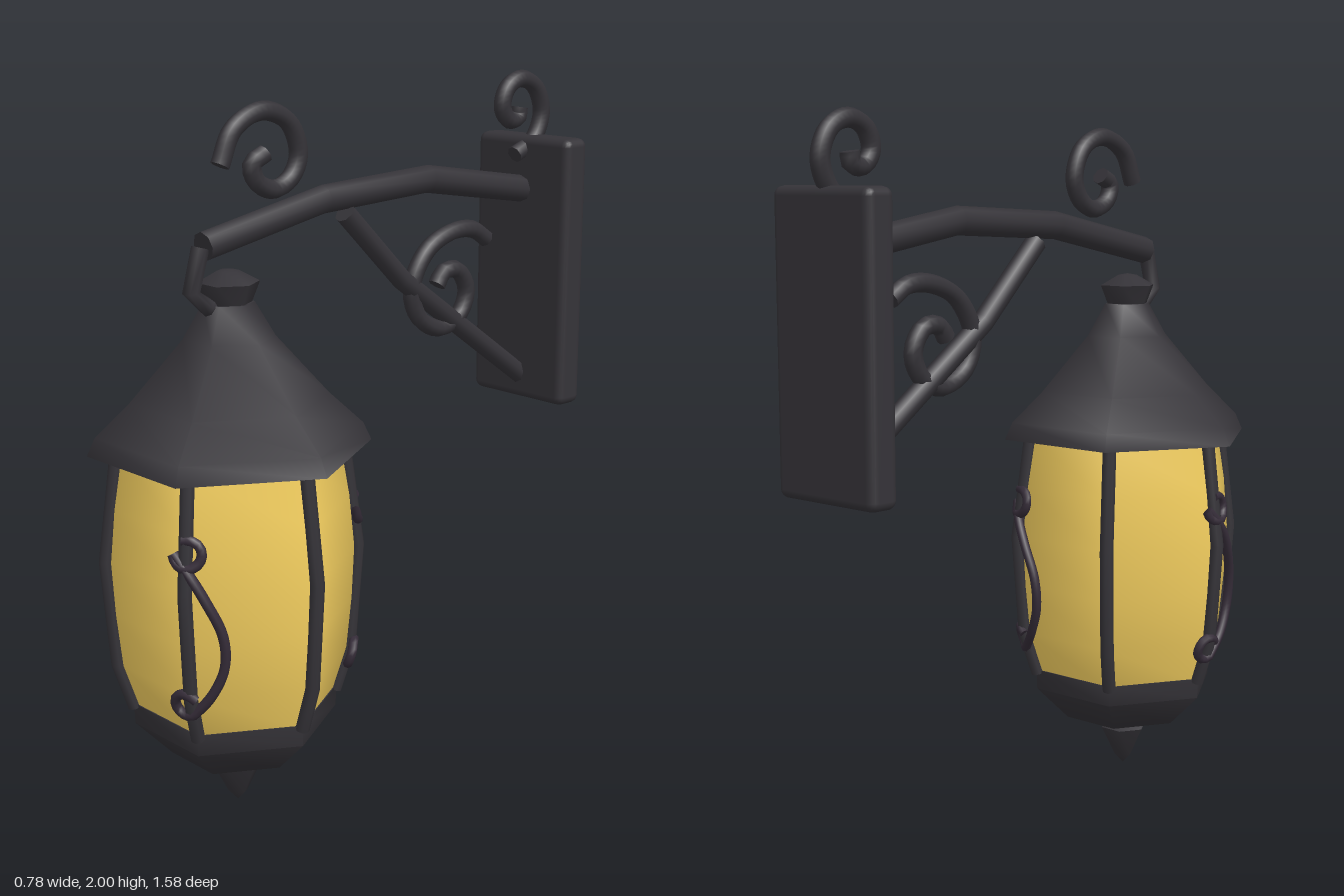
import * as THREE from 'three';
import { mergeGeometries, toCreasedNormals } from 'three/addons/utils/BufferGeometryUtils.js';
import { RoundedBoxGeometry } from 'three/addons/geometries/RoundedBoxGeometry.js';

const iron = new THREE.MeshStandardMaterial({ color: 0x353338 });
const vineIron = new THREE.MeshStandardMaterial({ color: 0x352c38 });
const amber = new THREE.MeshStandardMaterial({ color: 0xf5d060 });

const LANTERN_Z = 0.455;

// Straight-segment path whose samples land exactly on its corners
class Polyline extends THREE.Curve {
  constructor(points) {
    super();
    this.points = points;
  }
  getPoint(t, target = new THREE.Vector3()) {
    const f = THREE.MathUtils.clamp(t, 0, 1) * (this.points.length - 1);
    const i = Math.min(Math.floor(f), this.points.length - 2);
    return target.lerpVectors(this.points[i], this.points[i + 1], f - i);
  }
  getUtoTmapping(u) {
    return u;
  }
}

function mesh(name, geometry, material = iron) {
  const m = new THREE.Mesh(geometry, material);
  m.name = name;
  return m;
}

// Round bar along a curve, closed by a disc at each end
function bar(name, curve, segments, radius, material = iron) {
  const parts = [new THREE.TubeGeometry(curve, segments, radius, 8, false)];
  for (const u of [0, 1]) {
    const outward = curve.getTangentAt(u).multiplyScalar(u ? 1 : -1);
    const turn = new THREE.Quaternion().setFromUnitVectors(new THREE.Vector3(0, 0, 1), outward);
    const p = curve.getPointAt(u);
    parts.push(new THREE.CircleGeometry(radius, 8).applyQuaternion(turn).translate(p.x, p.y, p.z));
  }
  return mesh(name, mergeGeometries(parts), material);
}

// Paths in the side plane, given as [z, y]
const side = (pts) => pts.map(([z, y]) => new THREE.Vector3(0, y, z));
const straightBar = (name, pts, radius) => bar(name, new Polyline(side(pts)), pts.length - 1, radius);
const scroll = (name, pts) => bar(name, new THREE.CatmullRomCurve3(side(pts)), 40, 0.026);

// Six-sided turned part from a [radius, y] profile, bottom to top
function hexPart(name, profile, material = iron) {
  const pts = profile.map(([r, y]) => new THREE.Vector2(r, y));
  const geo = new THREE.LatheGeometry(pts, 6, Math.PI / 2);
  return mesh(name, toCreasedNormals(geo, 1.1), material);
}

// Ring-ended vine lying against a rib on the local +x side
function vine(ribRadius) {
  const onSurface = ([s, y]) => new THREE.Vector3(ribRadius(y) + 0.012 - 0.27 * Math.abs(s), y, -s);
  const pts = [];
  for (let i = 0; i <= 8; i++) {
    const a = Math.PI * (-0.1 + i * 0.2);
    pts.push([0.005 + 0.04 * Math.sin(a), 0.86 + 0.038 * Math.cos(a)]);
  }
  pts.push([0.012, 0.81], [0.055, 0.74], [0.095, 0.64], [0.095, 0.55], [0.06, 0.47]);
  for (let i = 0; i <= 7; i++) {
    const a = Math.PI * (0.65 + i * 0.24);
    pts.push([-0.012 + 0.034 * Math.sin(a), 0.435 + 0.034 * Math.cos(a)]);
  }
  return bar('vine', new THREE.CatmullRomCurve3(pts.map(onSurface)), 60, 0.014, vineIron);
}

function createLantern() {
  const lantern = new THREE.Group();
  lantern.name = 'lantern';
  lantern.position.z = LANTERN_Z;

  lantern.add(
    hexPart('glass', [[0.28, 0.32], [0.322, 0.45], [0.338, 0.6], [0.345, 0.75], [0.332, 0.9], [0.305, 1.06]], amber),
    hexPart('roof', [[0, 1.05], [0.388, 1.05], [0.365, 1.1], [0.27, 1.19], [0.125, 1.355], [0.07, 1.45], [0, 1.45]]),
    hexPart('roofFinial', [[0, 1.43], [0.055, 1.43], [0.085, 1.505], [0.03, 1.535], [0, 1.54]]),
    hexPart('base', [[0, 0.17], [0.185, 0.17], [0.285, 0.27], [0.287, 0.33], [0, 0.33]]),
    hexPart('bottomFinial', [[0, 0.005], [0.028, 0.035], [0.072, 0.125], [0.018, 0.17], [0, 0.172]]),
  );

  // Ribs on the six corners, with a vine on every other one
  const rib = [[0.283, 0.32], [0.325, 0.45], [0.348, 0.75], [0.306, 1.07]];
  const ribRadius = (y) => {
    let i = 0;
    while (i < rib.length - 2 && y > rib[i + 1][1]) i++;
    const [[r0, y0], [r1, y1]] = [rib[i], rib[i + 1]];
    return r0 + (r1 - r0) * (y - y0) / (y1 - y0);
  };
  for (let i = 0; i < 6; i++) {
    const corner = new THREE.Group();
    corner.name = 'corner';
    corner.rotation.y = (i - 1) * Math.PI / 3;
    const path = new Polyline(rib.map(([r, y]) => new THREE.Vector3(r, y, 0)));
    corner.add(bar('rib', path, rib.length - 1, 0.02));
    if (i % 2 === 0) corner.add(vine(ribRadius));
    lantern.add(corner);
  }
  return lantern;
}

function createBracket() {
  const bracket = new THREE.Group();
  bracket.name = 'bracket';

  const plate = mesh('wallPlate', new RoundedBoxGeometry(0.365, 0.81, 0.095, 2, 0.025));
  plate.position.set(0, 1.4, -0.727);

  bracket.add(
    plate,
    straightBar('arm', [[0.535, 1.607], [0.12, 1.69], [-0.28, 1.71], [-0.7, 1.643]], 0.04),
    straightBar('brace', [[0.04, 1.645], [-0.18, 1.43], [-0.7, 1.065]], 0.031),
    straightBar('hangingHook', [[0.545, 1.605], [0.578, 1.49], [0.525, 1.445], [0.46, 1.435]], 0.024),
    // Decorative scrolls on the arm, the plate and the brace
    scroll('armScroll', [[0.475, 1.81], [0.43, 1.9], [0.33, 1.942], [0.24, 1.905], [0.207, 1.82],
      [0.235, 1.76], [0.295, 1.733], [0.355, 1.76], [0.368, 1.805], [0.325, 1.83]]),
    scroll('plateScroll', [[-0.65, 1.75], [-0.73, 1.79], [-0.765, 1.87], [-0.735, 1.945], [-0.67, 1.974],
      [-0.612, 1.95], [-0.592, 1.895], [-0.62, 1.855], [-0.66, 1.86], [-0.665, 1.89]]),
    scroll('braceScroll', [[-0.53, 1.51], [-0.47, 1.545], [-0.38, 1.545], [-0.28, 1.5], [-0.222, 1.4],
      [-0.25, 1.31], [-0.34, 1.264], [-0.42, 1.295], [-0.45, 1.365], [-0.41, 1.43], [-0.35, 1.43], [-0.325, 1.395]]),
  );
  return bracket;
}

export function createModel() {
  const model = new THREE.Group();
  model.name = 'wallLantern';
  model.add(createLantern(), createBracket());
  return model;
}
